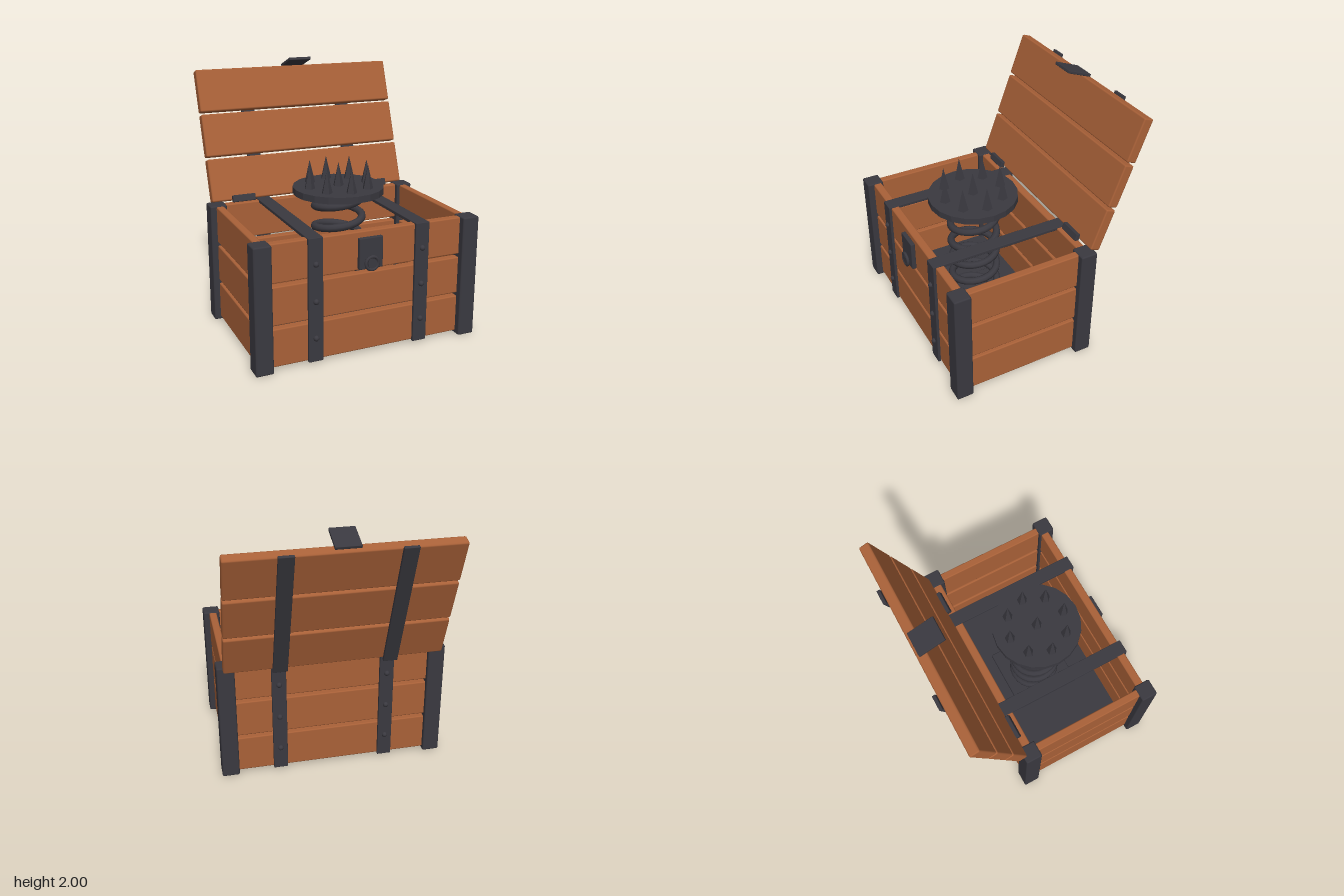
import * as THREE from 'three';
import { RoundedBoxGeometry } from 'three/addons/geometries/RoundedBoxGeometry.js';

export function createModel() {
  const wood = new THREE.MeshStandardMaterial({ color: 0xa96138 });
  wood.name = 'wood';
  const iron = new THREE.MeshStandardMaterial({ color: 0x3a3940 });
  iron.name = 'darkIron';

  const model = new THREE.Group();
  model.name = 'trapChest';
  const midZ = 0.2; // centre of the chest body

  const group = (name, parent = model) => {
    const g = new THREE.Group();
    g.name = name;
    parent.add(g);
    return g;
  };
  const add = (parent, name, geometry, material, x, y, z) => {
    const m = new THREE.Mesh(geometry, material);
    m.name = name;
    m.position.set(x, y, z);
    parent.add(m);
    return m;
  };
  // Box with slightly chamfered edges
  const box = (parent, name, mat, w, h, d, x, y, z, r = 0.01) =>
    add(parent, name, new RoundedBoxGeometry(w, h, d, 1, r), mat, x, y, z);

  // Chest body: three rows of planks on every side
  const body = group('body');
  for (let i = 0; i < 3; i++) {
    const y = 0.17 + i * 0.31;
    for (const s of [-1, 1]) {
      box(body, s > 0 ? 'frontPlank' : 'backPlank', wood, 1.64, 0.285, 0.065, 0, y, midZ + s * 0.4975);
      box(body, 'sidePlank', wood, 0.06, 0.285, 0.94, s * 0.794, y, midZ);
    }
  }
  add(body, 'floor', new THREE.BoxGeometry(1.55, 0.03, 0.95), iron, 0, 0.05, midZ);

  // Corner posts
  for (const x of [-0.805, 0.805])
    for (const z of [-0.295, 0.715])
      box(body, 'cornerPost', iron, 0.132, 0.935, 0.132, x, 0.4725, z, 0.012);

  // Straps with rivets on front and back, joined across the top
  const straps = group('straps');
  for (const x of [-0.415, 0.415]) {
    box(straps, 'topStrap', iron, 0.11, 0.024, 1.1, x, 0.928, midZ, 0.004);
    for (const s of [-1, 1]) {
      box(straps, 'uprightStrap', iron, 0.11, 0.92, 0.024, x, 0.48, midZ + s * 0.539, 0.004);
      for (const y of [0.2, 0.475, 0.75])
        add(straps, 'rivet', new THREE.SphereGeometry(0.021, 10, 8), iron, x, y, midZ + s * 0.553);
    }
  }

  // Lock plate with a ring
  const lock = group('lock');
  box(lock, 'lockPlate', iron, 0.184, 0.23, 0.035, 0, 0.775, 0.746, 0.006);
  add(lock, 'lockBoss', new THREE.CylinderGeometry(0.036, 0.036, 0.03, 16).rotateX(Math.PI / 2), iron, 0, 0.705, 0.772);
  add(lock, 'lockRing', new THREE.TorusGeometry(0.048, 0.012, 8, 20), iron, 0, 0.705, 0.778);

  // Open lid, leaning back
  const tilt = -Math.PI / 9;
  const lid = group('lid');
  lid.position.set(0, 1.435, -0.509);
  lid.rotation.x = tilt;
  for (let i = -1; i <= 1; i++)
    box(lid, 'lidPlank', wood, 1.65, 0.335, 0.08, 0, i * 0.355, -0.04, 0.012);
  for (const x of [-0.415, 0.415])
    box(lid, 'lidStrap', iron, 0.11, 1.077, 0.025, x, 0, -0.0925, 0.004);
  box(lid, 'hasp', iron, 0.184, 0.022, 0.208, 0, 0.537, 0.051, 0.004);

  // Hinges
  for (const x of [-0.575, 0.575])
    box(model, 'hinge', iron, 0.185, 0.055, 0.036, x, 0.955, -0.322, 0.006).rotation.x = tilt;

  // Spring trap: base plate, coil, spiked disc
  const trap = group('springTrap');
  trap.position.z = midZ;
  box(trap, 'springBase', iron, 0.55, 0.04, 0.55, 0, 0.08, 0, 0.008);
  const turns = 6, coil = [];
  for (let i = 0; i <= turns * 16; i++) {
    const a = (i / 16) * Math.PI * 2;
    coil.push(new THREE.Vector3(0.18 * Math.cos(a), 0.1 + i * 0.01, -0.18 * Math.sin(a)));
  }
  const path = new THREE.CatmullRomCurve3(coil);
  add(trap, 'spring', new THREE.TubeGeometry(path, turns * 24, 0.029, 8), iron, 0, 0, 0);
  for (const p of [coil[0], coil[coil.length - 1]])
    add(trap, 'springEnd', new THREE.SphereGeometry(0.029, 10, 8), iron, p.x, p.y, p.z);
  add(trap, 'discStub', new THREE.CylinderGeometry(0.04, 0.03, 0.06, 12), iron, 0, 1.05, 0);

  const flat = (g) => {
    const f = g.toNonIndexed();
    f.computeVertexNormals();
    return f;
  };
  add(trap, 'disc', flat(new THREE.CylinderGeometry(0.343, 0.343, 0.05, 20)), iron, 0, 1.1, 0);
  const spike = flat(new THREE.ConeGeometry(0.042, 0.18, 5));
  add(trap, 'spike', spike, iron, 0, 1.212, 0);
  for (let i = 0; i < 8; i++) {
    const a = (i * Math.PI) / 4;
    add(trap, 'spike', spike, iron, 0.232 * Math.cos(a), 1.212, 0.232 * Math.sin(a));
  }
  return model;
}
